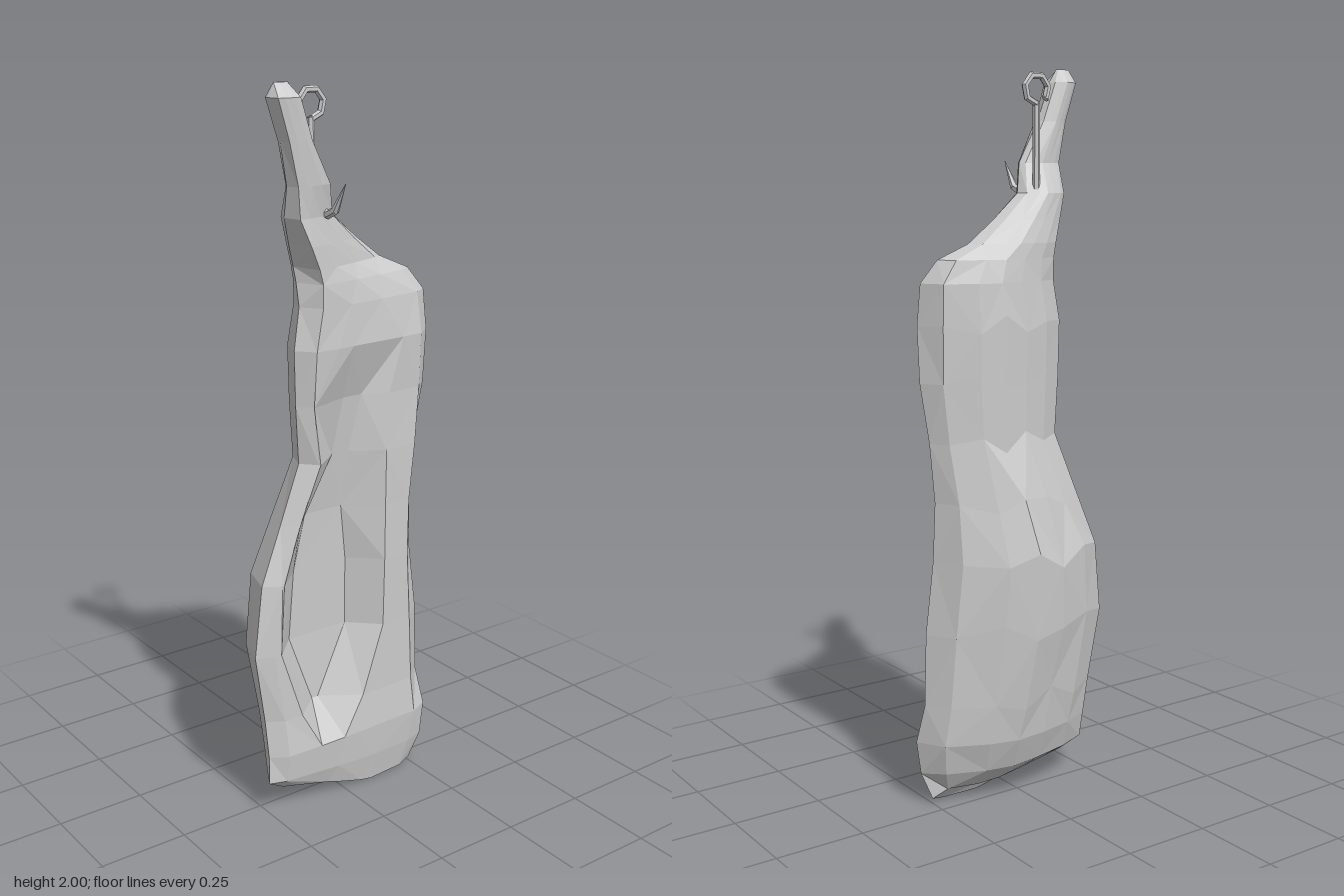
import * as THREE from 'three';

// Body cross-sections, top to bottom:
// y, left x, right x, back z, edge z, front z on the left, front z on the right
const SECTIONS = [
  [2.0, -0.222, -0.18, 0.062, 0.07, 0.076, 0.076],
  [1.965, -0.24, -0.158, 0.035, 0.07, 0.11, 0.108],
  [1.86, -0.205, -0.118, 0.035, 0.07, 0.105, 0.1],
  [1.75, -0.18, -0.05, 0.03, 0.06, 0.1, 0.085],
  [1.67, -0.175, -0.03, -0.015, 0.04, 0.1, 0.065],
  [1.6, -0.152, 0.06, -0.035, 0.025, 0.11, 0.045],
  [1.54, -0.132, 0.145, -0.055, 0.015, 0.11, 0.03],
  [1.5, -0.13, 0.235, -0.065, 0.025, 0.11, 0.045],
  [1.44, -0.135, 0.275, -0.075, 0.045, 0.108, 0.07],
  [1.33, -0.158, 0.28, -0.085, 0.055, 0.107, 0.09],
  [1.18, -0.155, 0.28, -0.082, 0.055, 0.09, 0.085],
  [1.02, -0.14, 0.262, -0.08, 0.045, 0.09, 0.09],
  [0.86, -0.2, 0.25, -0.12, 0.045, 0.085, 0.09],
  [0.7, -0.265, 0.255, -0.155, 0.05, 0.082, 0.09],
  [0.5, -0.295, 0.275, -0.142, 0.058, 0.08, 0.085],
  [0.3, -0.265, 0.282, -0.11, 0.055, 0.085, 0.085],
  [0.19, -0.258, 0.293, -0.09, 0.062, 0.095, 0.09],
  [0.11, -0.26, 0.278, -0.055, 0.065, 0.085, 0.08],
  [0.075, -0.205, 0.25, 0.01, 0.05, 0.068, 0.065],
];
// Chest cavity by height: left lip x, floor from x, floor to x, right lip x, depth
const CAVITY = {
  1.33: [-0.05, 0, 0.12, 0.17, 0],
  1.18: [-0.12, 0, 0.06, 0.13, 0.035],
  1.02: [-0.1, -0.025, 0.03, 0.12, 0.055],
  0.86: [-0.165, -0.1, 0.02, 0.12, 0.072],
  0.7: [-0.215, -0.135, 0.038, 0.12, 0.075],
  0.5: [-0.225, -0.15, 0.04, 0.12, 0.075],
  0.3: [-0.16, -0.08, -0.06, 0.05, 0.07],
  0.19: [-0.1, -0.06, -0.02, 0.02, 0],
};
// Domed back from right to left: fraction of width, fraction of depth
const BACK = [[0.92, 0.52], [0.72, 0.86], [0.57, 1], [0.4, 0.93], [0.22, 0.78], [0.06, 0.5]];

function ring([y, xl, xr, zb, ze, zf, zfr], row) {
  const w = xr - xl;
  const [lipL, floorL, floorR, lipR, depth] =
    CAVITY[y] ?? [...[0.32, 0.42, 0.58, 0.66].map((t) => xl + t * w), 0];
  const front = (x, dip = 0) => [x, THREE.MathUtils.lerp(zf, zfr, (x - xl) / w) - dip];
  const points = [
    [xl, ze],
    front(xl + 0.09 * w, 0.004),
    front(lipL),
    front(floorL, depth),
    front(floorR, depth),
    front(lipR),
    front(xl + 0.9 * w, 0.004),
    // The right flank tucks in beside the cavity
    [xr, ze - 0.3 * depth],
    ...BACK.map(([t, d]) => [xl + t * w, ze + (zb - ze) * d]),
  ];
  // The lowest section hangs down towards the front right
  const sag = y < 0.1 ? 0.073 : y < 0.15 ? 0.02 : 0;
  // Uneven rows across the back
  const wobble = y > 0.25 && y < 1.35 ? 0.028 : 0;
  return points.map(([x, z], i) => {
    const drop = Math.sin(((x - xl) / w) * 0.66 * Math.PI) ** 2;
    const shift = i > 8 && i < 13 ? wobble * Math.sin(i * 2.4 + row * 1.7) : 0;
    return new THREE.Vector3(x, y + shift - sag * drop * (i < 8 ? 1 : 0.45), z);
  });
}

function loft(rings) {
  const pos = [];
  const tri = (...corners) => corners.forEach((p) => pos.push(p.x, p.y, p.z));
  const n = rings[0].length;
  for (let r = 0; r < rings.length - 1; r++) {
    for (let i = 0; i < n; i++) {
      const j = (i + 1) % n;
      const a = rings[r][i], b = rings[r][j], c = rings[r + 1][i], d = rings[r + 1][j];
      // Alternate the diagonals for an irregular faceted surface
      if ((r + i) % 2) { tri(a, c, b); tri(b, c, d); }
      else { tri(a, c, d); tri(a, d, b); }
    }
  }
  // Close both ends
  const middle = (points) => points.reduce((m, p) => m.add(p), new THREE.Vector3()).divideScalar(n);
  const top = rings[0], bottom = rings[rings.length - 1];
  const topMid = middle(top), bottomMid = middle(bottom);
  for (let i = 0; i < n; i++) {
    const j = (i + 1) % n;
    tri(topMid, top[i], top[j]);
    tri(bottomMid, bottom[j], bottom[i]);
  }
  const geometry = new THREE.BufferGeometry();
  geometry.setAttribute('position', new THREE.Float32BufferAttribute(pos, 3));
  geometry.computeVertexNormals();
  return geometry;
}

export function createModel() {
  const group = new THREE.Group();
  const material = new THREE.MeshStandardMaterial({ color: 0xcccccc, flatShading: true });
  const add = (parent, name, geometry) => {
    const mesh = new THREE.Mesh(geometry, material);
    mesh.name = name;
    parent.add(mesh);
    return mesh;
  };

  add(group, 'carcass', loft(SECTIONS.map(ring)));

  // Straight tapered bar between two points
  const hook = new THREE.Group();
  hook.name = 'hook';
  group.add(hook);
  const bar = (name, from, to, r0, r1) => {
    const a = new THREE.Vector3(...from), b = new THREE.Vector3(...to);
    const dir = b.clone().sub(a);
    const mesh = add(hook, name, new THREE.CylinderGeometry(r1, r0, dir.length(), 6));
    mesh.position.copy(a).add(b).multiplyScalar(0.5);
    mesh.quaternion.setFromUnitVectors(new THREE.Vector3(0, 1, 0), dir.normalize());
  };
  const x = -0.07, z = 0.009;
  bar('hookShaft', [x, 1.68, z], [x, 1.908, z], 0.01, 0.01);
  bar('hookBend', [x, 1.69, z], [x, 1.675, 0.085], 0.01, 0.011);
  bar('hookShank', [x, 1.673, 0.078], [x, 1.688, 0.115], 0.012, 0.01);
  bar('hookPoint', [x, 1.685, 0.11], [x, 1.757, 0.155], 0.011, 0.001);

  // Open eye at the top of the hook, with its gap at the lower left
  const sweep = Math.PI * 1.72, radius = 0.038;
  const eye = add(hook, 'hookEye', new THREE.TorusGeometry(radius, 0.01, 6, 6, sweep));
  eye.position.set(x, 1.941, z);
  eye.rotation.z = -Math.PI / 2;
  // Caps closing the eye's two ends
  for (const angle of [0, sweep]) {
    const cap = add(eye, 'hookEyeEnd', new THREE.CylinderGeometry(0.01, 0.01, 0.002, 6));
    cap.position.set(radius * Math.cos(angle), radius * Math.sin(angle), 0);
    cap.rotation.z = angle;
  }
  return group;
}
